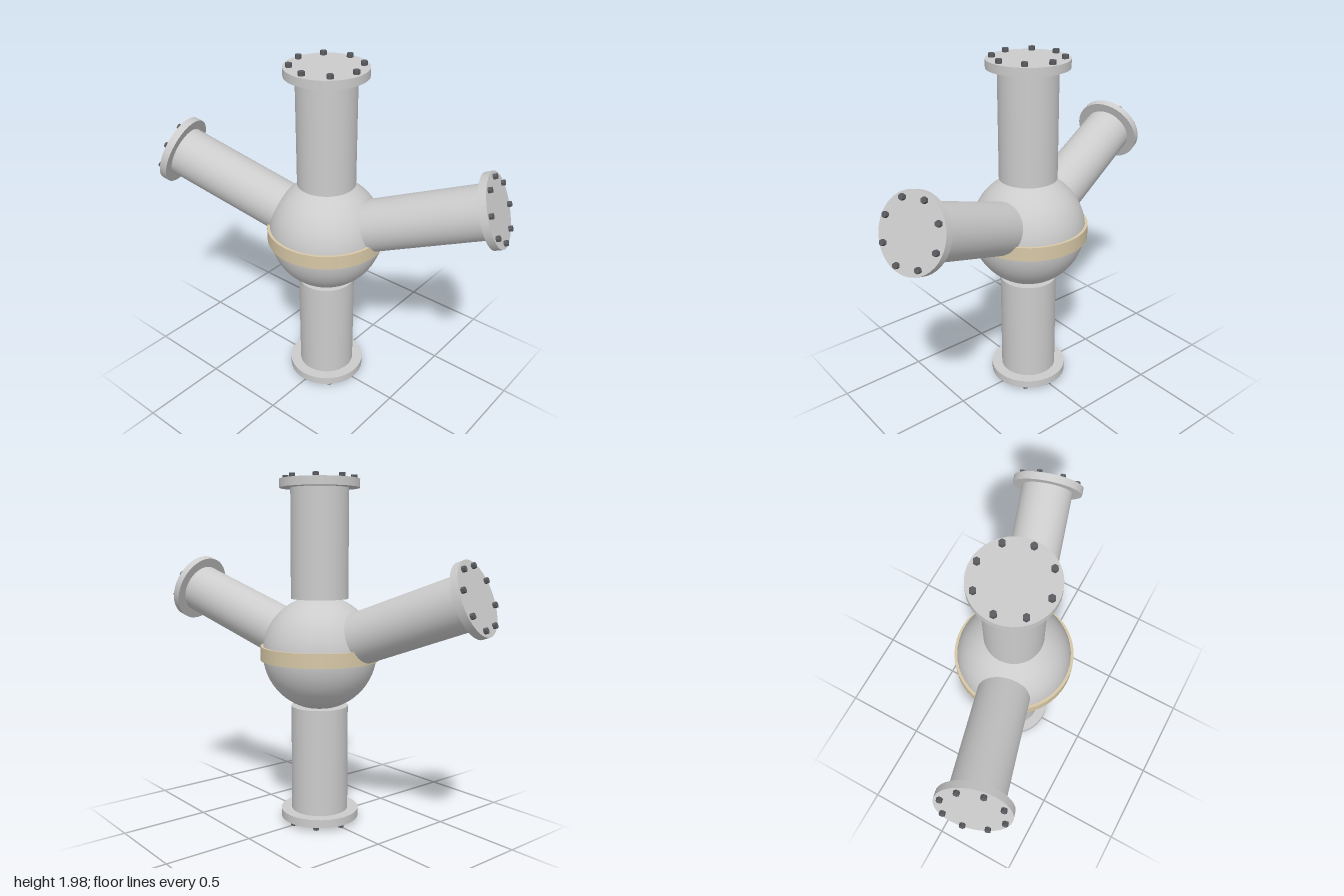
import * as THREE from 'three';

const grey = new THREE.MeshStandardMaterial({ color: 0xcccccc });
const tan = new THREE.MeshStandardMaterial({ color: 0xd6c7a6 });
const dark = new THREE.MeshStandardMaterial({ color: 0x5a5c60, flatShading: true });
const UP = new THREE.Vector3(0, 1, 0);

// Upright cylinder between two heights
function cylinder(name, radius, y0, y1, sides, material) {
  const mesh = new THREE.Mesh(new THREE.CylinderGeometry(radius, radius, y1 - y0, sides), material);
  mesh.name = name;
  mesh.position.y = (y0 + y1) / 2;
  return mesh;
}

// Flanged pipe running from the hub centre along a direction
function createBranch(name, direction, scale, start, end) {
  const branch = new THREE.Group();
  branch.name = name;
  const flangeStart = end - 0.047 * scale;
  branch.add(cylinder('pipe', 0.163 * scale, start, flangeStart, 40, grey));
  branch.add(cylinder('flange', 0.224 * scale, flangeStart, end, 40, grey));

  // Ring of hexagonal bolts on the outer face
  for (let i = 0; i < 8; i++) {
    const a = (i / 8) * Math.PI * 2;
    const bolt = cylinder('bolt', 0.018 * scale, end - 0.005, end + 0.022 * scale, 6, dark);
    bolt.position.x = Math.cos(a) * 0.191 * scale;
    bolt.position.z = Math.sin(a) * 0.191 * scale;
    branch.add(bolt);
  }
  branch.quaternion.setFromUnitVectors(UP, direction.clone().normalize());
  return branch;
}

export function createModel() {
  const model = new THREE.Group();
  model.name = 'pipeJunction';
  const hub = new THREE.Group();
  hub.name = 'hub';
  hub.position.y = 0.99;
  model.add(hub);

  // Spherical body with a band around the equator
  const body = new THREE.Mesh(new THREE.SphereGeometry(0.325, 48, 32), grey);
  body.name = 'sphereBody';
  hub.add(body);
  hub.add(cylinder('equatorBand', 0.338, -0.04, 0.04, 48, tan));

  // Vertical branches
  hub.add(createBranch('topBranch', UP, 1, 0.308, 0.967));
  const bottom = createBranch('bottomBranch', UP, 1, 0.308, 0.967);
  bottom.rotation.x = Math.PI;
  hub.add(bottom);

  // Raised side branches, opposite each other
  hub.add(createBranch('leftBranch', new THREE.Vector3(0.907, 0.348, -0.267), 0.9, 0.288, 1.007));
  hub.add(createBranch('rightBranch', new THREE.Vector3(-0.907, 0.348, 0.267), 0.9, 0.288, 1.007));

  return model;
}
